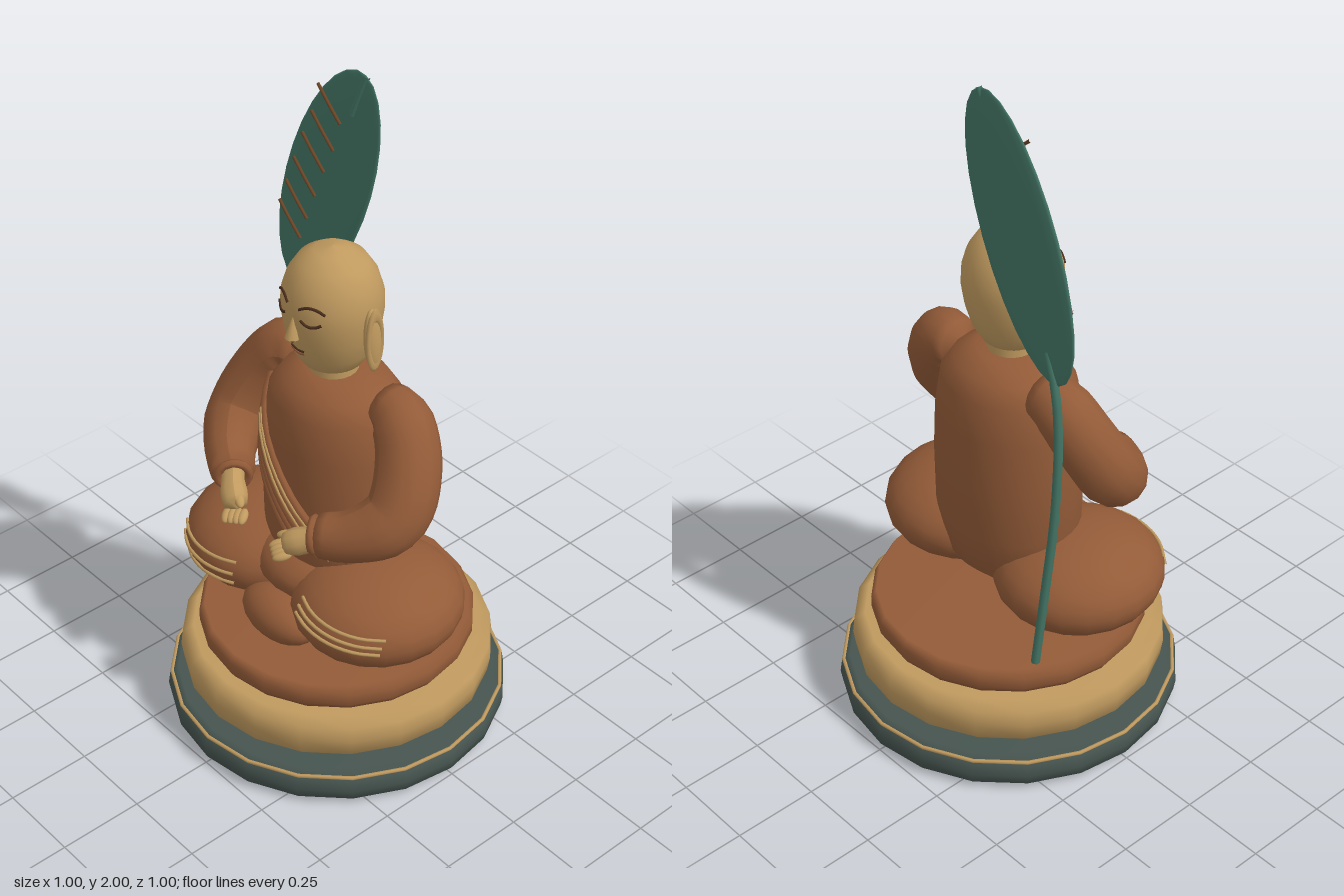
import * as THREE from 'three';

const mat = (name, color) => {
  const m = new THREE.MeshStandardMaterial({ color });
  m.name = name;
  return m;
};
const V = (x, y, z) => new THREE.Vector3(x, y, z);

// Radius of a turned profile [[radius, y], ...] at height y
function radiusAt(profile, y) {
  for (let i = 1; i < profile.length; i++) {
    const [r0, y0] = profile[i - 1], [r1, y1] = profile[i];
    if (y <= y1) return r0 + (r1 - r0) * Math.max(0, (y - y0) / (y1 - y0));
  }
  return 0;
}

// Tube whose radius follows a list of values, closed to a point at both ends
function loft(points, radii, sides = 12, steps = 18) {
  const curve = new THREE.CatmullRomCurve3(points);
  const g = new THREE.TubeGeometry(curve, steps, 1, sides, false);
  const p = g.attributes.position, v = V(0, 0, 0);
  for (let i = 0; i <= steps; i++) {
    const c = curve.getPointAt(i / steps);
    const f = (i / steps) * (radii.length - 1), k = Math.min(Math.floor(f), radii.length - 2);
    const end = i === 0 || i === steps;
    const r = end ? 0.0005 : THREE.MathUtils.lerp(radii[k], radii[k + 1], f - k);
    for (let j = 0; j <= sides; j++) {
      const n = i * (sides + 1) + j;
      v.fromBufferAttribute(p, n).sub(c).multiplyScalar(r).add(c);
      p.setXYZ(n, v.x, v.y, v.z);
    }
  }
  g.computeVertexNormals();
  return g;
}

export function createModel() {
  const model = new THREE.Group();
  model.name = 'seatedMonk';
  const robe = mat('robe brown', 0x935b38);
  const gold = mat('skin gold', 0xc09a5f);
  const slate = mat('dark slate', 0x46544f);
  const green = mat('leaf green', 0x447666);
  const dark = mat('dark line', 0x4a2d1a);
  const vein = mat('vein brown', 0x6d4526);
  const lip = mat('lip', 0x9a5f40);

  const add = (name, geo, material, pos = [0, 0, 0], scale = [1, 1, 1], rot = [0, 0, 0]) => {
    const m = new THREE.Mesh(geo, material);
    m.name = name;
    m.position.set(...pos);
    m.scale.set(...scale);
    m.rotation.set(...rot);
    model.add(m);
    return m;
  };
  const lathe = (profile, n) =>
    new THREE.LatheGeometry(profile.map(([r, y]) => new THREE.Vector2(r, y)), n);
  const ball = (name, material, pos, scale, rot) =>
    add(name, new THREE.SphereGeometry(1, 20, 14), material, pos, scale, rot);
  const line = (name, pts, r, material) =>
    add(name, new THREE.TubeGeometry(new THREE.CatmullRomCurve3(pts), 12, r, 6), material);

  // Tiered round base
  add('baseFoot', lathe([[0, 0], [0.47, 0], [0.495, 0.02], [0.5, 0.05], [0.495, 0.085], [0.47, 0.11], [0, 0.11]], 20), slate);
  add('baseTrim', new THREE.TorusGeometry(0.488, 0.006, 6, 20), gold, [0, 0.093, 0], [1, 1, 1], [Math.PI / 2, 0, Math.PI / 2]);
  add('baseTier', lathe([[0, 0.11], [0.41, 0.11], [0.45, 0.15], [0.457, 0.2], [0.452, 0.245], [0.42, 0.268], [0, 0.27]], 20), gold);
  add('cushion', lathe([[0, 0.265], [0.385, 0.265], [0.4, 0.29], [0.4, 0.325], [0.385, 0.35], [0, 0.35]], 20), robe);

  // Torso, oval in plan
  const torso = [[0, 0.4], [0.1, 0.42], [0.19, 0.5], [0.225, 0.64], [0.228, 0.82], [0.222, 0.97],
    [0.205, 1.08], [0.165, 1.135], [0.1, 1.17], [0, 1.175]];
  const DEPTH = 0.84;
  add('torso', lathe(torso, 32), robe, [0, 0, 0], [1, 1, DEPTH]);

  // Sash folds laid diagonally across the chest
  const onTorso = (x, y, lift) =>
    V(x, y, DEPTH * Math.sqrt(Math.max(0, radiusAt(torso, y) ** 2 - x * x)) + lift);
  for (let k = 0; k < 5; k++) {
    const t = k / 4, fold = [], trim = [];
    for (let i = 0; i <= 10; i++) {
      const s = i / 10;
      const x = THREE.MathUtils.lerp(-0.19 - 0.02 * t, 0.18 - 0.13 * t, s);
      const y = THREE.MathUtils.lerp(1.07 - 0.12 * t, 0.66, s);
      fold.push(onTorso(x, y, 0));
      trim.push(onTorso(x, y, 0.015));
    }
    line('sashFold', fold, 0.017, robe);
    if (k < 2) line('sashTrim', trim, 0.005, gold);
  }

  // Neck and head
  add('neck', new THREE.CylinderGeometry(0.066, 0.07, 0.11, 20), gold, [0, 1.17, 0.01]);
  const head = [[0, 1.175], [0.05, 1.18], [0.085, 1.205], [0.112, 1.25], [0.13, 1.31], [0.139, 1.37],
    [0.137, 1.42], [0.122, 1.47], [0.093, 1.515], [0.05, 1.543], [0, 1.552]];
  add('head', lathe(head, 28), gold, [0, 0, 0.015]);
  const onFace = (x, y) => V(x, y, 0.016 + Math.sqrt(Math.max(0, radiusAt(head, y) ** 2 - x * x)));
  const faceArc = (name, cx, cy, w, sag, r, m) => line(name, [-1, -0.5, 0, 0.5, 1].map(
    u => onFace(cx + u * w, cy + sag * (1 - u * u))), r, m);

  // Face
  add('nose', new THREE.ConeGeometry(0.02, 0.08, 10), gold, [0, 1.365, 0.152], [1, 1, 1], [-0.12, 0, 0]);
  faceArc('mouth', 0, 1.278, 0.026, -0.006, 0.005, lip);
  faceArc('lipLine', 0, 1.284, 0.026, -0.004, 0.003, dark);

  for (const s of [1, -1]) {
    faceArc('closedEye', s * 0.056, 1.392, 0.028, -0.012, 0.004, dark);
    faceArc('eyebrow', s * 0.056, 1.422, 0.034, 0.013, 0.004, dark);
    ball('nostril', dark, [s * 0.011, 1.325, 0.163], [0.005, 0.004, 0.006]);

    // Long ears with a raised rim
    ball('ear', gold, [s * 0.147, 1.33, 0.005], [0.018, 0.09, 0.028], [0, 0, s * 0.06]);
    add('earRim', new THREE.TorusGeometry(0.024, 0.007, 6, 20), gold, [s * 0.156, 1.33, 0.005], [1, 3.2, 1], [0, Math.PI / 2, 0]);

    // Sleeved arm
    add('sleeve', loft([V(s * 0.145, 1.115, -0.03), V(s * 0.23, 1.1, -0.025), V(s * 0.3, 1.0, 0.01), V(s * 0.325, 0.88, 0.08),
      V(s * 0.26, 0.825, 0.17), V(s * 0.165, 0.805, 0.235)], [0.062, 0.085, 0.09, 0.092, 0.09, 0.072, 0.06], 14, 24), robe);
    add('cuff', new THREE.TorusGeometry(0.045, 0.012, 6, 16), robe, [s * 0.172, 0.808, 0.232], [1, 1, 1], [0.15, -s * 0.95, 0]);

    // Hand with curled fingers
    add('hand', loft([V(s * 0.2, 0.815, 0.21), V(s * 0.15, 0.785, 0.25), V(s * 0.1, 0.758, 0.28)], [0.035, 0.033, 0.04, 0.032], 10, 10), gold);
    for (let i = 0; i < 4; i++) {
      ball('finger', gold, [s * (0.077 + i * 0.014), 0.742 - i * 0.002, 0.277 + i * 0.008], [0.014, 0.013, 0.028], [0.3, -s * 0.6, 0]);
    }
    ball('thumb', gold, [s * 0.1, 0.785, 0.27], [0.028, 0.012, 0.014], [0, s * 0.5, s * 0.3]);

    // Folded leg
    const c = s > 0 ? [0.225, 0.51, 0.045] : [-0.225, 0.5, 0.062];
    const r = [0.24, 0.14, 0.248];
    ball('foldedLeg', robe, c, r);

    // Robe stripes wrapped over the shin
    for (let k = 0; k < 3; k++) {
      const pts = [];
      for (let i = 0; i <= 6; i++) {
        const u = i / 6;
        const x = s > 0 ? 0.14 + 0.27 * u : -0.12 - 0.26 * u;
        const y = (s > 0 ? 0.575 - 0.02 * u : 0.545 - 0.012 * u) - k * (s > 0 ? 0.02 : 0.035);
        const d = 1 - ((x - c[0]) / r[0]) ** 2 - ((y - c[1]) / r[1]) ** 2;
        pts.push(V(x, y, c[2] + r[2] * Math.sqrt(Math.max(0, d)) + 0.001));
      }
      line('legStripe', pts, 0.005, gold);
    }
  }
  // Covered feet and lap
  ball('coveredFeet', robe, [0.03, 0.44, 0.24], [0.135, 0.072, 0.08]);
  ball('lap', robe, [0, 0.54, 0.06], [0.2, 0.1, 0.18]);

  // Leaf fan on a stalk behind the right shoulder
  add('leaf', new THREE.SphereGeometry(1, 18, 14), green, [-0.162, 1.622, -0.11], [0.152, 0.402, 0.016], [0, 0, -0.38]);
  line('stalk', [V(-0.27, 1.34, -0.112), V(-0.3, 1.24, -0.112), V(-0.318, 1.1, -0.115), V(-0.325, 0.85, -0.13),
    V(-0.318, 0.6, -0.155), V(-0.31, 0.35, -0.182)], 0.013, green);
  line('leafTip', [V(-0.055, 1.87, -0.1), V(-0.03, 1.94, -0.106), V(-0.01, 1.995, -0.11)], 0.009, green);
  const veins = [[-0.185, 1.91], [-0.212, 1.82], [-0.25, 1.74], [-0.286, 1.65], [-0.32, 1.565], [-0.348, 1.49]];
  for (const [x, y] of veins) {
    line('leafVein', [V(x, y, -0.097), V(x + 0.047, y - 0.04, -0.093), V(x + 0.094, y - 0.08, -0.091)], 0.005, vein);
  }
  return model;
}
